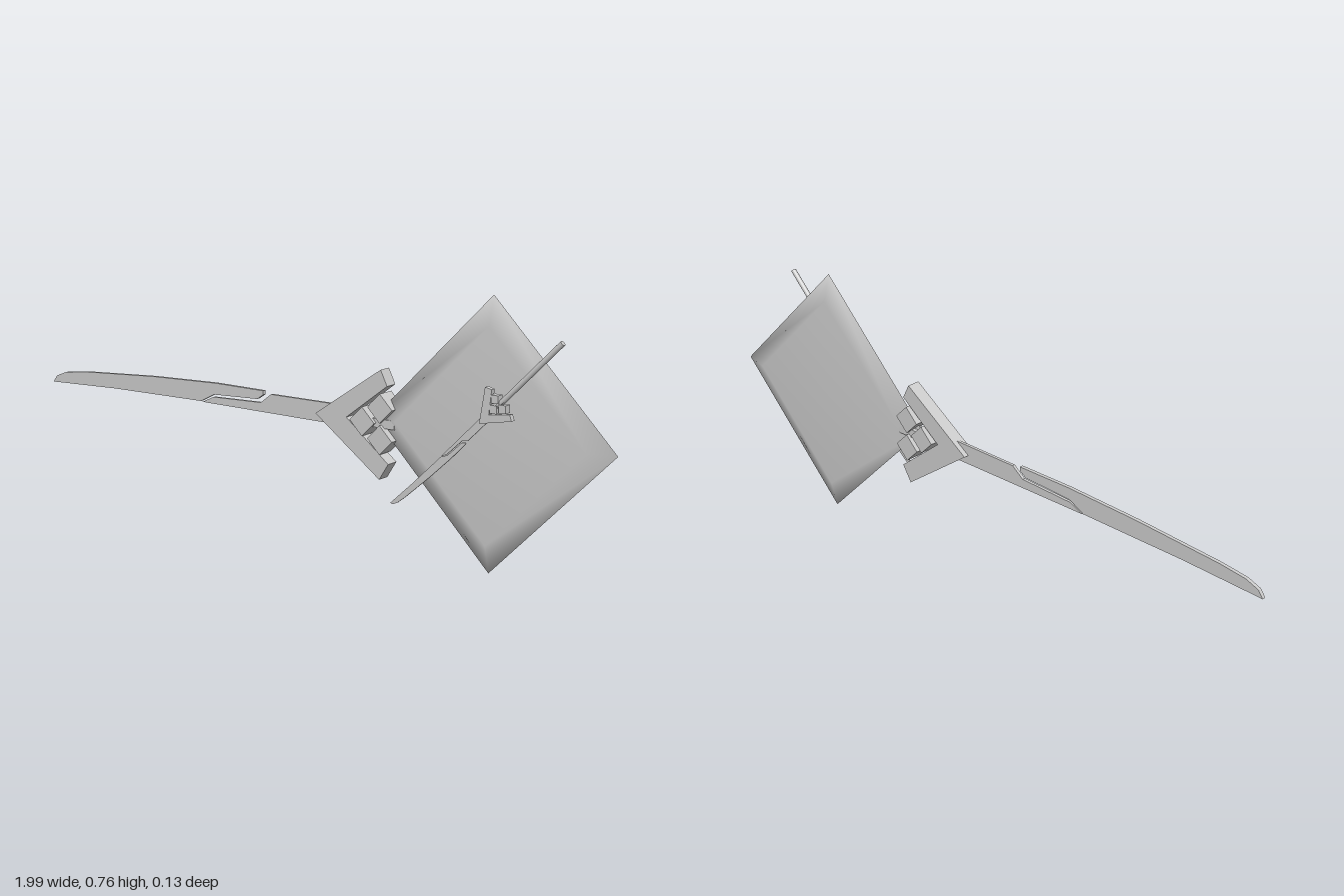
import * as THREE from 'three';

const mat = new THREE.MeshStandardMaterial({ color: 0xcccccc, side: THREE.DoubleSide });

function add(parent, name, geometry, x = 0, y = 0, z = 0) {
  const mesh = new THREE.Mesh(geometry, mat);
  mesh.name = name;
  mesh.position.set(x, y, z);
  parent.add(mesh);
  return mesh;
}

// Flat outline extruded evenly to both sides of z = 0
function plate(points, depth) {
  const shape = new THREE.Shape(points.map(([x, y]) => new THREE.Vector2(x, y)));
  return new THREE.ExtrudeGeometry(shape, { depth, bevelEnabled: false }).translate(0, 0, -depth / 2);
}

// Blade, collar, forked guard and guard blocks; the origin is the fork's outer corner
function swordHead() {
  const g = new THREE.Group();

  // Long, slightly curved blade with a stepped root
  add(g, 'blade', plate([
    [-1.04, -0.042], [-1.025, -0.021], [-0.985, -0.005], [-0.9, 0.006], [-0.62, 0.026],
    [-0.38, 0.036], [-0.2, 0.036], [-0.2, 0.024], [-0.222, 0.009], [-0.385, 0.001],
    [-0.435, -0.025], [-0.78, -0.031],
  ], 0.011));

  // Collar interlocking with the blade root
  add(g, 'collar', plate([
    [-0.43, -0.027], [-0.388, -0.007], [-0.21, 0.0], [-0.172, 0.029], [0.05, 0.031],
    [0.05, -0.027],
  ], 0.009));

  // Forked guard
  add(g, 'forkedGuard', plate([
    [0, 0], [0.224, 0.152], [0.246, 0.108], [0.108, 0.003], [0.252, -0.112], [0.222, -0.16],
  ], 0.04));

  // Square blocks set on their corners inside the fork
  for (const [x, y] of [[0.227, 0.044], [0.227, -0.045], [0.167, 0]]) {
    add(g, 'guardBlock', new THREE.BoxGeometry(0.059, 0.059, 0.056), x, y).rotation.z = Math.PI / 4;
  }
  add(g, 'guardPin', new THREE.BoxGeometry(0.1, 0.025, 0.036), 0.22, 0);
  return g;
}

export function createModel() {
  const model = new THREE.Group();

  // Large sword
  const large = swordHead();
  large.name = 'largeSword';
  large.position.set(0.043, 0.376, -0.036);
  model.add(large);

  // Square pad standing on its corner, tapering to a thin rim
  const h = 0.0215;
  const profile = [[0, -h], [0.3, -h], [0.382, 0], [0.3, h], [0, h]];
  const pad = new THREE.LatheGeometry(profile.map(([r, y]) => new THREE.Vector2(r, y)), 4);
  add(model, 'diamondPad', pad.rotateX(Math.PI / 2), 0.615, 0.387, -0.036);

  // Small sword in front, turned over and tilted, with a slim grip
  const small = swordHead();
  small.name = 'smallSword';
  small.position.set(0.638, 0.442, 0.055);
  small.rotation.set(Math.PI, 0, Math.PI / 4, 'ZXY');
  small.scale.setScalar(0.372);
  const grip = new THREE.CylinderGeometry(0.021, 0.021, 0.68, 12).rotateZ(Math.PI / 2);
  add(small, 'grip', grip, 0.575, 0);
  model.add(small);

  return model;
}
